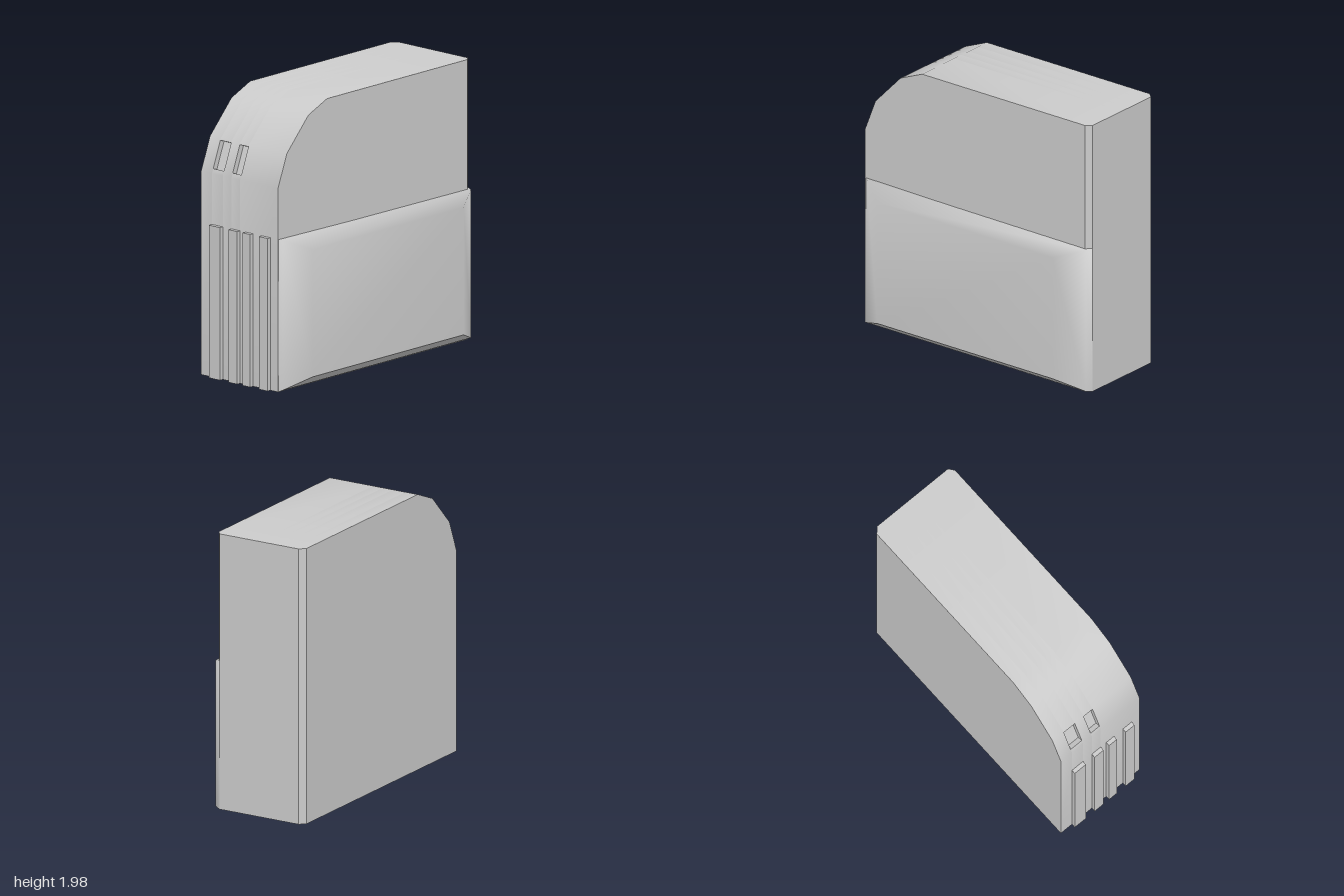
import * as THREE from 'three';
import { toCreasedNormals } from 'three/addons/utils/BufferGeometryUtils.js';

const material = new THREE.MeshStandardMaterial({ color: 0xcccccc });

function addMesh(parent, name, geometry) {
  const mesh = new THREE.Mesh(geometry, material);
  mesh.name = name;
  parent.add(mesh);
  return mesh;
}

const shapeOf = (points) => new THREE.Shape(points.map(([x, y]) => new THREE.Vector2(x, y)));

// Side outline of the case, optionally notched into the lower slanted facet
function bodyOutline(notched) {
  const a = [-0.97, 1.44], b = [-0.88, 1.67];
  const at = (t, depth) => [
    a[0] + (b[0] - a[0]) * t + 0.93 * depth,
    a[1] + (b[1] - a[1]) * t - 0.36 * depth,
  ];
  const slot = notched ? [at(0.14, 0), at(0.14, 0.04), at(0.95, 0.04), at(0.95, 0)] : [];
  return shapeOf([[-0.97, 0], a, ...slot, b, [-0.66, 1.9], [-0.47, 1.98], [0.96, 1.98], [0.96, 0]]);
}

// Panel built from rectangular rings; the lower bevel keeps a hard edge
function panelGeometry(rings, sides, capped) {
  const positions = rings.flat(2);
  const index = [];
  for (let r = 0; r < rings.length - 1; r++) {
    for (const i of sides) {
      const j = (i + 1) % 4, o = r * 4, n = o + 4;
      index.push(o + i, o + j, n + j, o + i, n + j, n + i);
    }
  }
  if (capped) {
    const o = (rings.length - 1) * 4;
    index.push(o, o + 1, o + 2, o, o + 2, o + 3);
  }
  const geometry = new THREE.BufferGeometry();
  geometry.setAttribute('position', new THREE.Float32BufferAttribute(positions, 3));
  geometry.setIndex(index);
  geometry.computeVertexNormals();
  return geometry;
}

export function createModel() {
  const model = new THREE.Group();
  model.name = 'case';

  // Main body in slices along z, so the notched slices form two recessed slots
  const body = new THREE.Group();
  body.name = 'body';
  model.add(body);
  const cuts = [-0.42, -0.32, -0.22, -0.14, -0.06, 0.29];
  for (let i = 0; i < cuts.length - 1; i++) {
    const notched = i % 2 === 1;
    const geometry = new THREE.ExtrudeGeometry(bodyOutline(notched), {
      depth: cuts[i + 1] - cuts[i], bevelEnabled: false,
    });
    geometry.translate(0, 0, cuts[i]);
    addMesh(body, notched ? 'slottedSlice' : 'bodySlice', toCreasedNormals(geometry, 0.5));
  }

  // Flat side with chamfered vertical edges
  const side = new THREE.ExtrudeGeometry(
    shapeOf([[0.96, 0.42], [0.96, -0.29], [1, -0.26], [1, 0.38]]),
    { depth: 1.98, bevelEnabled: false });
  side.rotateX(-Math.PI / 2);
  addMesh(model, 'chamferedSide', side);

  // Raised lower front panel
  const rings = [
    [[-0.97, 0, 0.285], [1, 0, 0.26], [1, 1.065, 0.26], [-0.97, 1.08, 0.285]],
    [[-0.94, 0.01, 0.307], [0.98, 0.01, 0.305], [0.98, 1.06, 0.305], [-0.94, 1.07, 0.307]],
    [[-0.76, 0.09, 0.42], [0.78, 0.09, 0.42], [0.78, 0.99, 0.42], [-0.76, 0.99, 0.42]],
  ];
  addMesh(model, 'frontPanel', panelGeometry(rings, [1, 2, 3], true));
  addMesh(model, 'frontPanelLowerBevel', panelGeometry(rings, [0], false));

  // Grip ribs on the rounded side
  for (const [z, width] of [[-0.27, 0.1], [-0.1, 0.08], [0.025, 0.07], [0.18, 0.08]]) {
    const rib = addMesh(model, 'gripRib', new THREE.BoxGeometry(0.04, 1.08, width));
    rib.position.set(-0.98, 0.54, z);
  }
  return model;
}
